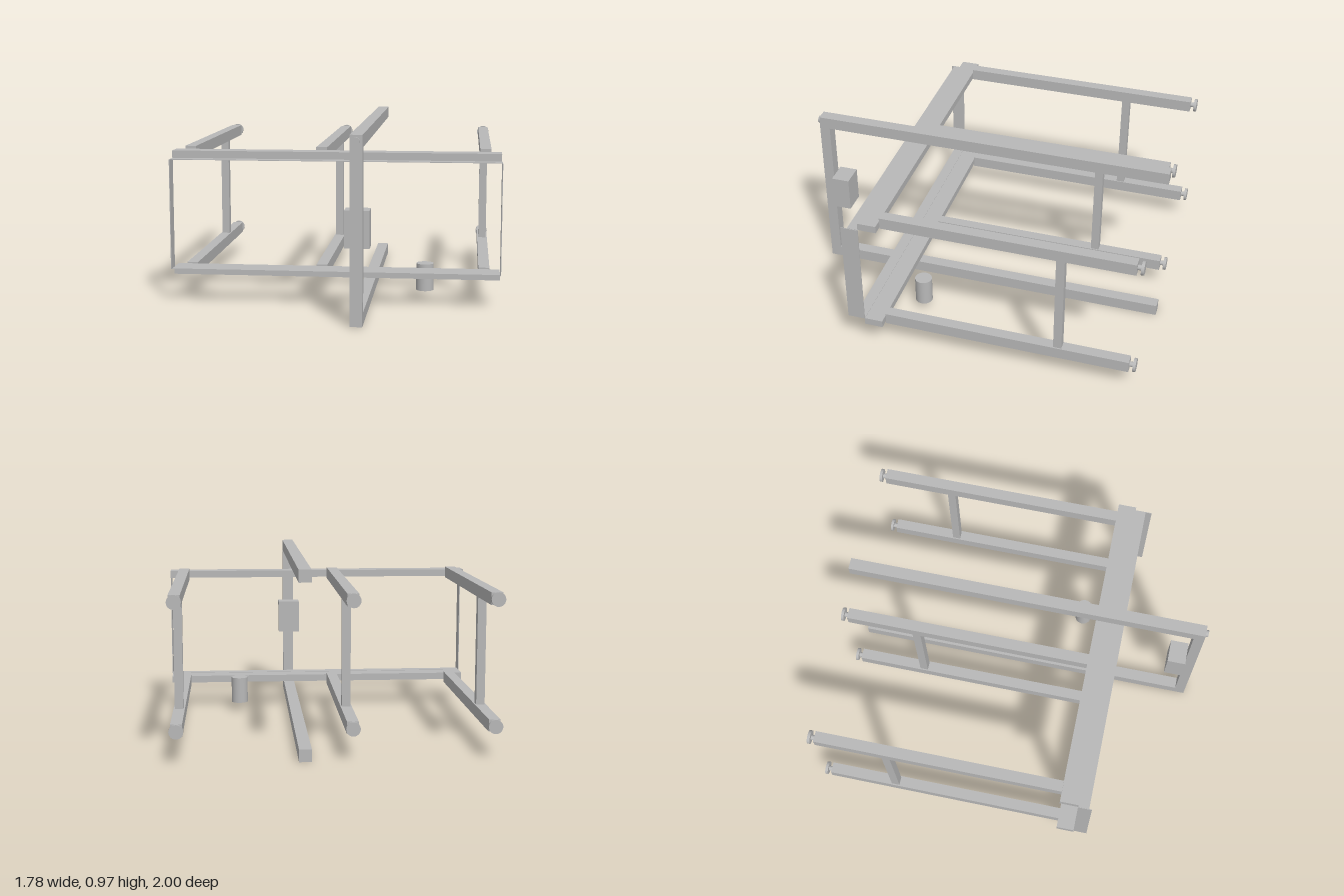
import * as THREE from 'three';

export function createModel() {
  const model = new THREE.Group();
  const steel = new THREE.MeshStandardMaterial({ color: 0xb8b8b8 });
  steel.name = 'steel grey';

  const add = (name, geometry, x, y, z) => {
    const mesh = new THREE.Mesh(geometry, steel);
    mesh.name = name;
    mesh.position.set(x, y, z);
    model.add(mesh);
  };

  // Box given by its limits on each axis
  const box = (name, [x0, x1], [y0, y1], [z0, z1]) => {
    const geometry = new THREE.BoxGeometry(x1 - x0, y1 - y0, z1 - z0);
    add(name, geometry, (x0 + x1) / 2, (y0 + y1) / 2, (z0 + z1) / 2);
  };

  // Cylinder lying along z
  const disc = (name, r, x, y, z0, z1) => {
    const geometry = new THREE.CylinderGeometry(r, r, z1 - z0, 24).rotateX(Math.PI / 2);
    add(name, geometry, x, y, (z0 + z1) / 2);
  };

  // Long cross rails
  for (const y of [0.168, 0.809]) {
    box('crossRail', [-0.89, 0.884], [y - 0.02, y + 0.02], [0.386, 0.487]);
  }

  // Three side frames: two long arms, an upright and end feet
  for (const x of [-0.81, -0.086, 0.8]) {
    for (const y of [0.164, 0.813]) {
      box('arm', [x - 0.03, x + 0.03], [y - 0.032, y + 0.032], [-0.964, 0.387]);
      disc('footNeck', 0.014, x, y, -0.986, -0.962);
      disc('footDisc', 0.037, x, y, -1, -0.985);
    }
    box('upright', [x - 0.023, x + 0.023], [0.19, 0.785], [-0.6, -0.555]);
  }

  // Thin sheet surround in front of the rails
  box('lowerStrip', [-0.89, 0.885], [0.186, 0.19], [0.485, 0.545]);
  box('upperStrip', [-0.89, 0.885], [0.785, 0.789], [0.485, 0.545]);
  box('rightSheet', [-0.892, -0.888], [0.189, 0.787], [0.485, 0.56]);
  box('leftSheet', [0.884, 0.888], [0.189, 0.787], [0.485, 0.58]);

  // Tall centre frame: front post with an upper and a lower bar
  const span = [0.123, 0.188];
  box('centrePost', span, [0.065, 0.97], [0.927, 0.985]);
  box('upperBar', span, [0.905, 0.97], [-1, 0.927]);
  box('lowerBar', span, [0, 0.065], [-1, 0.985]);
  disc('bolt', 0.019, 0.156, 0.938, 0.984, 1);
  box('postBlock', [0.09, 0.219], [0.39, 0.584], [0.826, 0.928]);

  // Small loose peg
  add('peg', new THREE.CylinderGeometry(0.048, 0.048, 0.15, 32), 0.477, 0.122, 0.291);

  return model;
}
